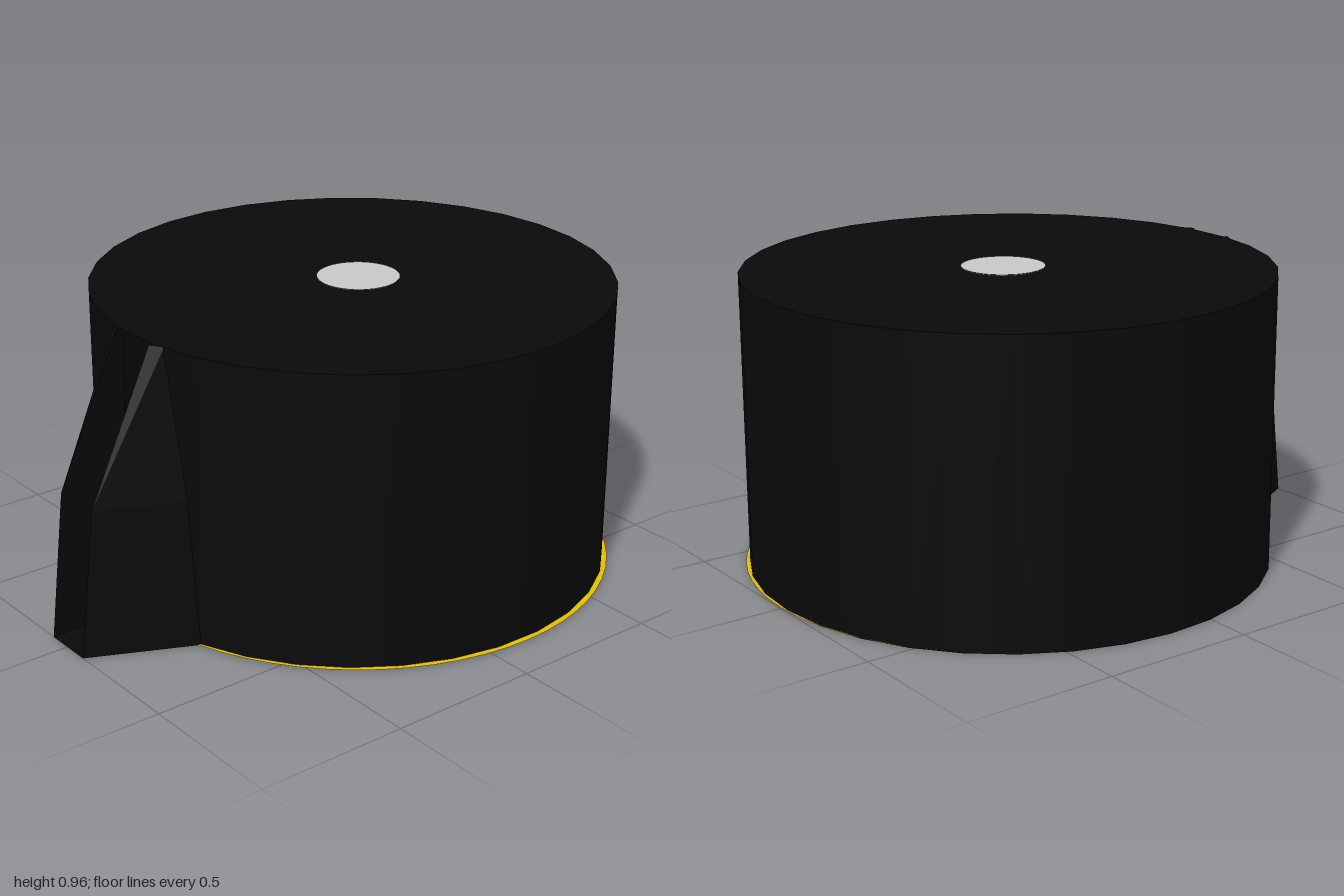
import * as THREE from 'three';

const R = 0.852, CX = -0.013, CZ = -0.142;   // housing radius and axis
const SLOT_L = -0.08, SLOT_R = 0.09;         // sides of the front slot
const H = 0.96, SEGS = 32;

const mat = (color) => new THREE.MeshStandardMaterial({ color, side: THREE.DoubleSide });

export function createModel() {
  const model = new THREE.Group();
  const black = mat(0x0a0a0a), grey = mat(0xcccccc), yellow = mat(0xe6c200);
  const green = mat(0x88dd99), purple = mat(0x8866cc);

  const add = (name, geometry, material, x = 0, y = 0, z = 0) => {
    const mesh = new THREE.Mesh(geometry, material);
    mesh.name = name;
    mesh.position.set(x, y, z);
    model.add(mesh);
    return mesh;
  };

  // Arc that runs round the housing from one slot edge to the other
  const start = Math.asin((SLOT_R - CX) / R);
  const sweep = Math.PI * 2 - start + Math.asin((SLOT_L - CX) / R);
  const band = (r, h) => new THREE.CylinderGeometry(r, r, h, SEGS, 1, true, start, sweep);

  add('housingWall', band(R, H), black, CX, H / 2, CZ);

  // Flat lid following the wall's outline
  const rim = [];
  for (let i = 0; i <= SEGS; i++) {
    const a = start + sweep * i / SEGS;
    rim.push(new THREE.Vector2(CX + R * Math.sin(a), -(CZ + R * Math.cos(a))));
  }
  add('lid', new THREE.ShapeGeometry(new THREE.Shape(rim)).rotateX(-Math.PI / 2), black, 0, H, 0);

  // Base disc, slightly offset from the wall
  add('baseDisc', new THREE.CircleGeometry(0.857, 64).rotateX(-Math.PI / 2), yellow, 0, 0.003, -0.143);

  // Thin rings on the inside of the wall
  for (const y of [0.08, 0.147]) add('innerRing', band(R - 0.008, 0.012), green, CX, y, CZ);

  // Spout cheeks: triangular sections [height, front z, outer x] stacked upward
  const sections = [[0, 1, 0.25], [0.48, 0.945, 0.21], [H, 0.72, 0.13]];
  const cheek = (inner, sign) => {
    const pos = [], index = [];
    for (const [y, front, outer] of sections) {
      const ox = sign * outer;
      const backZ = (x) => CZ + Math.sqrt(R * R - (x - CX) ** 2) - 0.006;
      pos.push(inner, y, backZ(inner), inner, y, front, ox, y, backZ(ox));
    }
    for (let s = 0; s < sections.length - 1; s++) {
      for (let i = 0; i < 3; i++) {
        const a = s * 3 + i, b = s * 3 + (i + 1) % 3;
        index.push(a, b, b + 3, a, b + 3, a + 3);
      }
    }
    index.push(0, 2, 1, 6, 7, 8);
    if (sign < 0) index.reverse();
    const g = new THREE.BufferGeometry();
    g.setAttribute('position', new THREE.Float32BufferAttribute(pos, 3));
    g.setIndex(index);
    const flat = g.toNonIndexed();
    flat.computeVertexNormals();
    return flat;
  };
  add('spoutLeftCheek', cheek(SLOT_R, 1), black);
  add('spoutRightCheek', cheek(SLOT_L, -1), black);

  // Floor between the cheeks
  add('spoutFloor', new THREE.PlaneGeometry(SLOT_R - SLOT_L, 0.3).rotateX(-Math.PI / 2),
    black, (SLOT_L + SLOT_R) / 2, 0, 0.85);

  // Tapered spindle hanging from the lid
  const profile = [[0, 0.165], [0.02, 0.165], [0.055, 0.28], [0.08, 0.47], [0.09, 0.55], [0.135, 0.962]]
    .map(([r, y]) => new THREE.Vector2(r, y));
  add('spindle', new THREE.LatheGeometry(profile, 40), grey, 0, 0, -0.155);
  add('spindleTop', new THREE.CircleGeometry(0.135, 40).rotateX(-Math.PI / 2), grey, 0, 0.963, -0.155);

  // Slim tip with grey collars
  add('spindleTip', new THREE.CylinderGeometry(0.018, 0.018, 0.15, 20), purple, 0, 0.095, -0.155);
  for (const [y, h] of [[0.027, 0.02], [0.11, 0.012], [0.135, 0.012], [0.16, 0.014]]) {
    add('tipCollar', new THREE.CylinderGeometry(0.021, 0.021, h, 20), grey, 0, y, -0.155);
  }

  return model;
}
